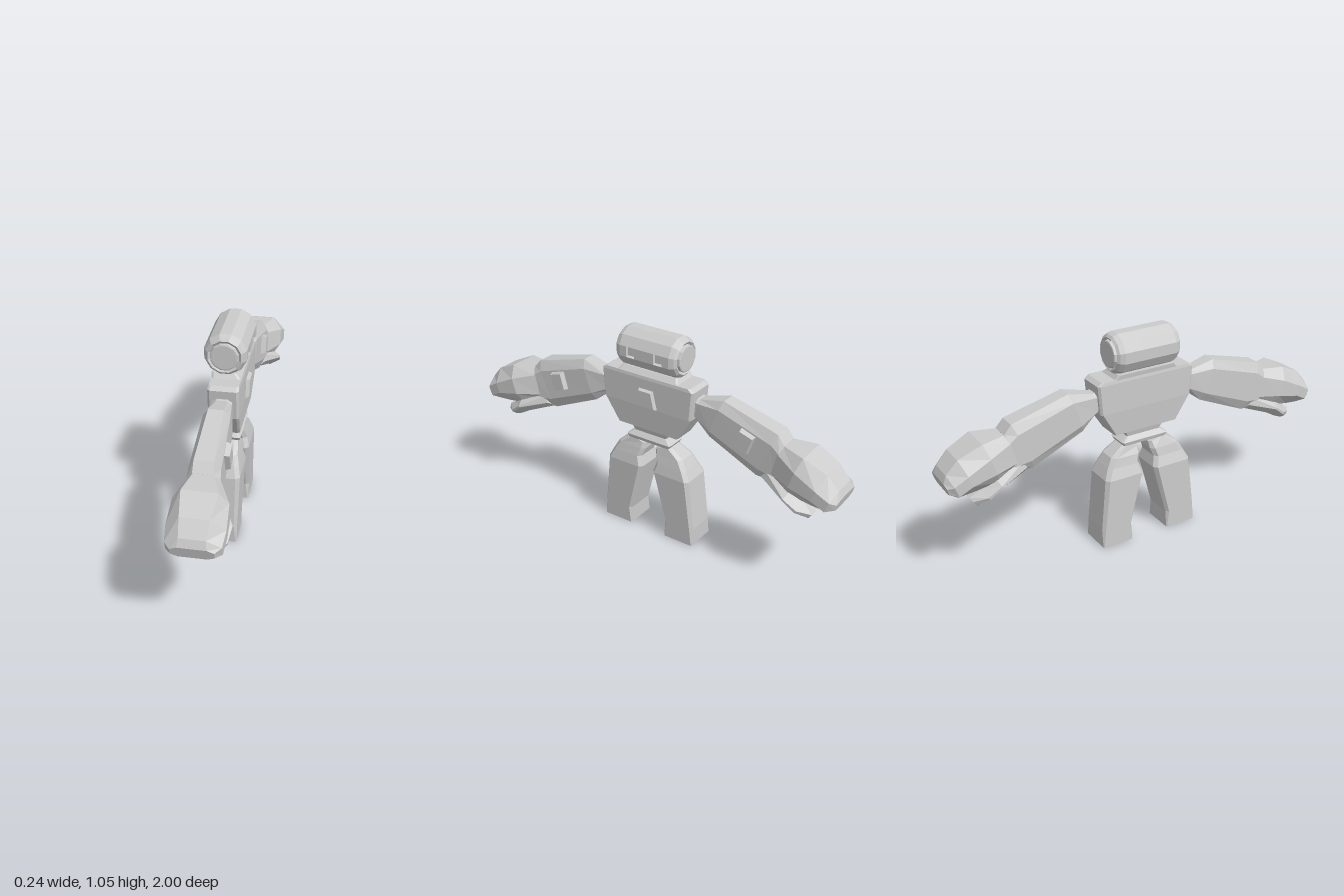
import * as THREE from 'three';

const grey = new THREE.MeshStandardMaterial({ color: 0xcccccc, flatShading: true });

// Skins a list of rings (counter-clockwise seen from the far end) into a flat-shaded solid
function loft(rings, { startCap = true, skip = () => false } = {}) {
  const n = rings[0].length;
  const index = [];
  for (let r = 0; r < rings.length - 1; r++) {
    for (let i = 0; i < n; i++) {
      if (skip(r, i)) continue;
      const j = (i + 1) % n, a = r * n, b = a + n;
      index.push(a + i, a + j, b + j, a + i, b + j, b + i);
    }
  }
  const last = (rings.length - 1) * n;
  for (let i = 1; i < n - 1; i++) {
    if (startCap) index.push(0, i + 1, i);
    index.push(last, last + i, last + i + 1);
  }
  const geo = new THREE.BufferGeometry();
  geo.setAttribute('position', new THREE.Float32BufferAttribute(rings.flat(2), 3));
  geo.setIndex(index);
  const flat = geo.toNonIndexed();
  flat.computeVertexNormals();
  return flat;
}

// Bevelled section between two (z, y) points; c = bevel across x, d = bevel along the section
function section([[z1, y1], [z0, y0], xa, xb, c, d], side = 1) {
  const at = (x, t) => [x, y0 + (y1 - y0) * t, side * (z0 + (z1 - z0) * t)];
  const ring = [
    at(xb, d), at(xb, 1 - d), at(xb - c, 1), at(xa + c, 1),
    at(xa, 1 - d), at(xa, d), at(xa + c, 0), at(xb - c, 0),
  ];
  return side < 0 ? ring.reverse() : ring;
}

const limb = (rows, side) => loft(rows.map((row) => section(row, side)));

// Raised tapering badge on the +x side, from a (z, y) outline clockwise in z-right, y-up
function badge(outline, xa, xb, shrink, side = 1) {
  const cz = outline.reduce((s, p) => s + p[0], 0) / outline.length;
  const cy = outline.reduce((s, p) => s + p[1], 0) / outline.length;
  const ring = (x, k) => {
    const r = outline.map(([z, y]) => [x, cy + (y - cy) * k, side * (cz + (z - cz) * k)]);
    return side < 0 ? r.reverse() : r;
  };
  return loft([ring(xa, 1), ring(xb, shrink)]);
}

// Rows: outer/top point, inner/bottom point, x range, bevels
const ARM = [
  [[0.24, 0.79], [0.235, 0.69], -0.06, 0.03, 0.02, 0.15],
  [[0.265, 0.785], [0.25, 0.685], -0.06, 0.03, 0.02, 0.15],
  [[0.395, 0.817], [0.325, 0.62], -0.075, 0.045, 0.025, 0.2],
  [[0.675, 0.742], [0.58, 0.51], -0.08, 0.055, 0.025, 0.2],
  [[0.71, 0.70], [0.67, 0.51], -0.08, 0.06, 0.025, 0.2],
];
const FIST = [
  [[0.70, 0.70], [0.66, 0.53], -0.08, 0.06, 0.03, 0.2],
  [[0.82, 0.695], [0.76, 0.50], -0.118, 0.115, 0.04, 0.3],
  [[0.93, 0.645], [0.87, 0.475], -0.122, 0.122, 0.06, 0.35],
  [[0.985, 0.585], [0.94, 0.465], -0.115, 0.115, 0.06, 0.3],
  [[1.0, 0.55], [0.985, 0.495], -0.09, 0.09, 0.03, 0.25],
];
const THUMB = [
  [[0.66, 0.58], [0.60, 0.508], -0.075, 0.055, 0.03, 0.3],
  [[0.78, 0.53], [0.74, 0.455], -0.12, 0.12, 0.055, 0.45],
  [[0.84, 0.475], [0.80, 0.42], -0.11, 0.11, 0.05, 0.4],
  [[0.89, 0.445], [0.855, 0.395], -0.07, 0.065, 0.02, 0.3],
];
const LEG = [
  [[0.11, 0.495], [0.03, 0.47], -0.06, 0.03, 0.015, 0.15],
  [[0.185, 0.445], [0.03, 0.44], -0.08, 0.04, 0.02, 0.12],
  [[0.21, 0.40], [0.045, 0.40], -0.09, 0.05, 0.02, 0.1],
  [[0.235, 0.35], [0.03, 0.35], -0.11, 0.06, 0.02, 0.08],
  [[0.262, 0.09], [0.10, 0.085], -0.112, 0.052, 0.015, 0.08],
  [[0.262, 0], [0.10, 0], -0.112, 0.05, 0.004, 0.02],
];
// Torso rows: half width, height, x range
const TORSO = [
  [0.235, 0.842, -0.08, 0.055],
  [0.257, 0.827, -0.083, 0.058],
  [0.245, 0.685, -0.083, 0.058],
  [0.17, 0.565, -0.075, 0.05],
];
const WAIST = [
  [0.115, 0.575, -0.06, 0.035],
  [0.09, 0.53, -0.05, 0.025],
  [0.125, 0.508, -0.07, 0.045],
  [0.115, 0.49, -0.065, 0.04],
];
const COLLAR = [
  [0.15, 0.862, -0.083, 0.03],
  [0.17, 0.838, -0.08, 0.055],
];
const trunk = (rows) => limb(rows.map(([w, y, xa, xb]) => [[w, y], [-w, y], xa, xb, 0.01, 0.02]));

export function createModel() {
  const model = new THREE.Group();
  model.name = 'robot';
  const add = (name, geo, parent = model) => {
    const mesh = new THREE.Mesh(geo, grey);
    mesh.name = name;
    parent.add(mesh);
  };

  add('torso', trunk(TORSO));
  add('waist', trunk(WAIST));
  add('collar', trunk(COLLAR));
  add('chestBadge', badge([[0.065, 0.685], [-0.065, 0.685], [-0.042, 0.782], [0.042, 0.782]], 0.05, 0.074, 0.8));

  // Head: twelve-sided drum along z, one flat facing +x, with recessed eye cells
  const head = new THREE.Group();
  head.name = 'head';
  model.add(head);
  const SIDES = 12, cx = -0.02, cy = 0.95;
  const half = [[0.175, 0.058], [0.173, 0.064], [0.16, 0.066], [0.168, 0.078], [0.158, 0.09], [0.135, 0.1], [0.098, 0.1], [0.053, 0.1]];
  const profile = [...half.map(([z, r]) => [-z, r]), ...half.slice().reverse()];
  const drum = profile.map(([z, r]) => Array.from({ length: SIDES }, (_, i) => {
    const a = ((i - 0.5) / SIDES) * Math.PI * 2;
    return [cx + r * Math.cos(a), cy + r * Math.sin(a), z];
  }));
  const eyeRows = [6, 8];
  add('headShell', loft(drum, { skip: (r, i) => i === 0 && eyeRows.includes(r) }), head);
  for (const r of eyeRows) {
    const rim = [drum[r][0], drum[r][1], drum[r + 1][1], drum[r + 1][0]];
    const floor = rim.map(([x, y, z]) => [x - 0.015, cy + (y - cy) * 0.85, z]);
    add('eyeSocket', loft([rim, floor], { startCap: false }), head);
  }

  // Mirrored limbs
  for (const side of [1, -1]) {
    const arm = new THREE.Group();
    arm.name = side > 0 ? 'frontArm' : 'backArm';
    model.add(arm);
    add('sleeve', limb(ARM, side), arm);
    add('fist', limb(FIST, side), arm);
    add('thumb', limb(THUMB, side), arm);
    add('armBadge', badge([[0.55, 0.612], [0.478, 0.64], [0.505, 0.738], [0.585, 0.713]], 0.035, 0.075, 0.8, side), arm);
    add(side > 0 ? 'frontLeg' : 'backLeg', limb(LEG, side));
  }
  return model;
}
